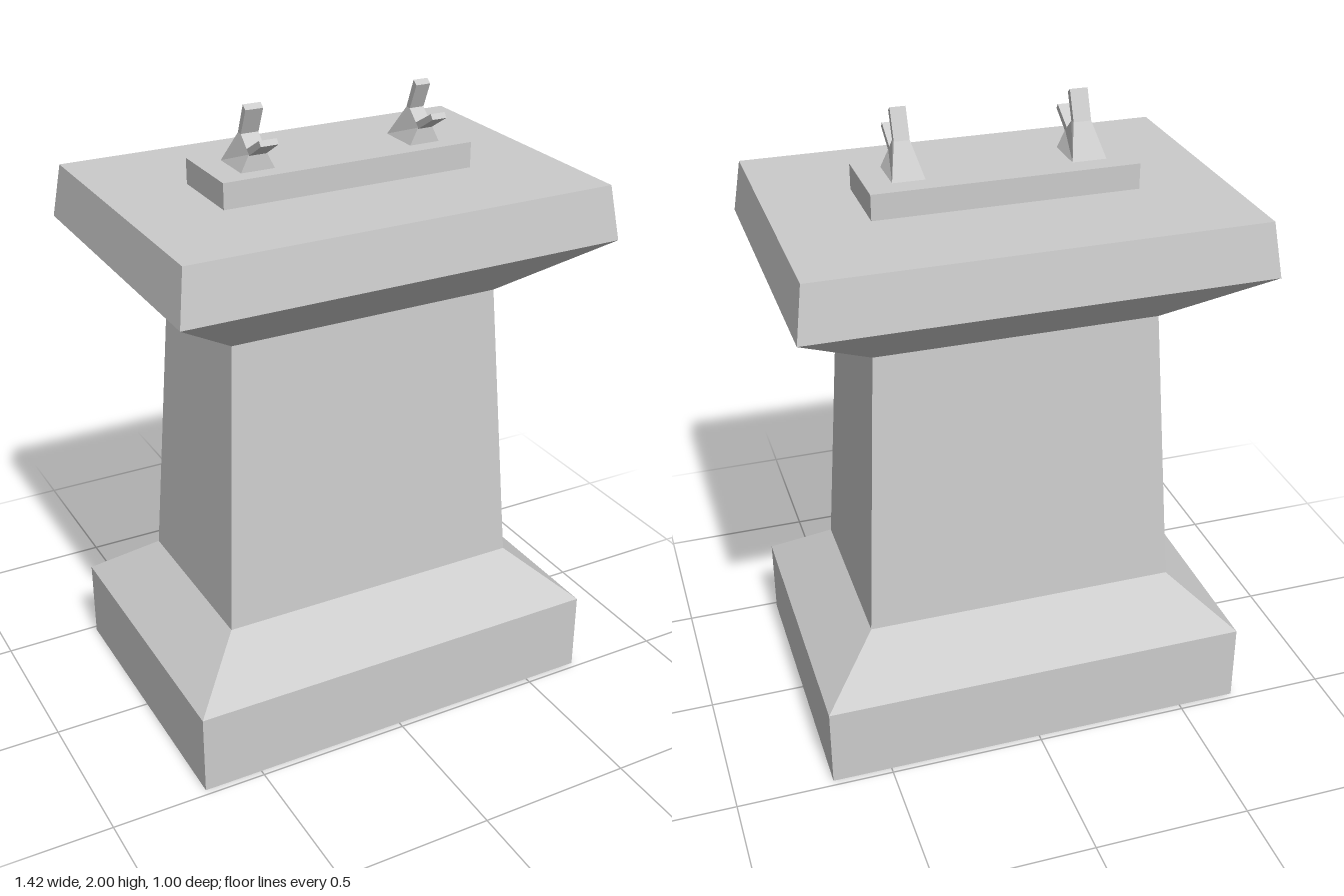
import * as THREE from 'three';

const grey = new THREE.MeshStandardMaterial({ color: 0xcccccc, flatShading: true });

function add(parent, name, geometry) {
  const mesh = new THREE.Mesh(geometry, grey);
  mesh.name = name;
  parent.add(mesh);
  return mesh;
}

// Stack of rectangles [y, half width, half depth], with optional end caps
function loft(rings, capBottom, capTop) {
  const pos = [], index = [];
  for (const [y, w, d] of rings) pos.push(-w, y, d, w, y, d, w, y, -d, -w, y, -d);
  for (let r = 0; r < rings.length - 1; r++) {
    for (let i = 0; i < 4; i++) {
      const a = r * 4 + i, b = r * 4 + (i + 1) % 4;
      index.push(a, b, b + 4, a, b + 4, a + 4);
    }
  }
  const t = (rings.length - 1) * 4;
  if (capBottom) index.push(0, 2, 1, 0, 3, 2);
  if (capTop) index.push(t, t + 1, t + 2, t, t + 2, t + 3);
  const g = new THREE.BufferGeometry();
  g.setAttribute('position', new THREE.Float32BufferAttribute(pos, 3));
  g.setIndex(index);
  const flat = g.toNonIndexed();
  flat.computeVertexNormals();
  return flat;
}

// Side outline in (z, y) given thickness across x; halfAt(y) sets the half width
function slab(outline, halfAt) {
  const shape = new THREE.Shape(outline.map(([z, y]) => new THREE.Vector2(z, y)));
  const g = new THREE.ExtrudeGeometry(shape, { depth: 2, bevelEnabled: false });
  g.translate(0, 0, -1).rotateY(-Math.PI / 2);
  const p = g.attributes.position;
  for (let i = 0; i < p.count; i++) p.setX(i, Math.sign(p.getX(i)) * halfAt(p.getY(i)));
  g.computeVertexNormals();
  return g;
}

// Wedge foot flared at its base, with two splayed prongs
function makeBracket(baseHalf, topHalf) {
  const bracket = new THREE.Group();
  add(bracket, 'bracketFoot', slab(
    [[-0.055, 1.81], [0.085, 1.81], [0.085, 1.862], [0.033, 1.909], [0.014, 1.909]],
    y => (y < 1.82 ? baseHalf : topHalf)));
  add(bracket, 'frontProng', slab(
    [[0.085, 1.858], [0.165, 1.906], [0.154, 1.921], [0.07, 1.874]], () => topHalf));
  add(bracket, 'rearProng', slab(
    [[0.014, 1.909], [0.034, 1.909], [0.069, 1.987], [0.052, 2]], () => topHalf));
  return bracket;
}

export function createModel() {
  const model = new THREE.Group();
  model.name = 'pedestal';

  // Plinth with sloped shoulder, tapering column, flared top slab
  add(model, 'plinth', loft([[0, 0.69, 0.48], [0.265, 0.69, 0.48], [0.42, 0.505, 0.295]], true, false));
  add(model, 'column', loft([[0.42, 0.505, 0.295], [1.355, 0.45, 0.24]], false, false));
  add(model, 'topSlab', loft([[1.355, 0.45, 0.24], [1.56, 0.712, 0.502], [1.73, 0.688, 0.478]], false, true));

  // Mounting plate
  const plate = add(model, 'mountingPlate', new THREE.BoxGeometry(0.825, 0.08, 0.263));
  plate.position.set(-0.003, 1.77, 0.008);

  // Pair of brackets, the right one slightly wider
  for (const [name, x, baseHalf, topHalf] of [
    ['rightBracket', -0.28, 0.054, 0.028],
    ['leftBracket', 0.278, 0.05, 0.024],
  ]) {
    const bracket = makeBracket(baseHalf, topHalf);
    bracket.name = name;
    bracket.position.x = x;
    model.add(bracket);
  }
  return model;
}
